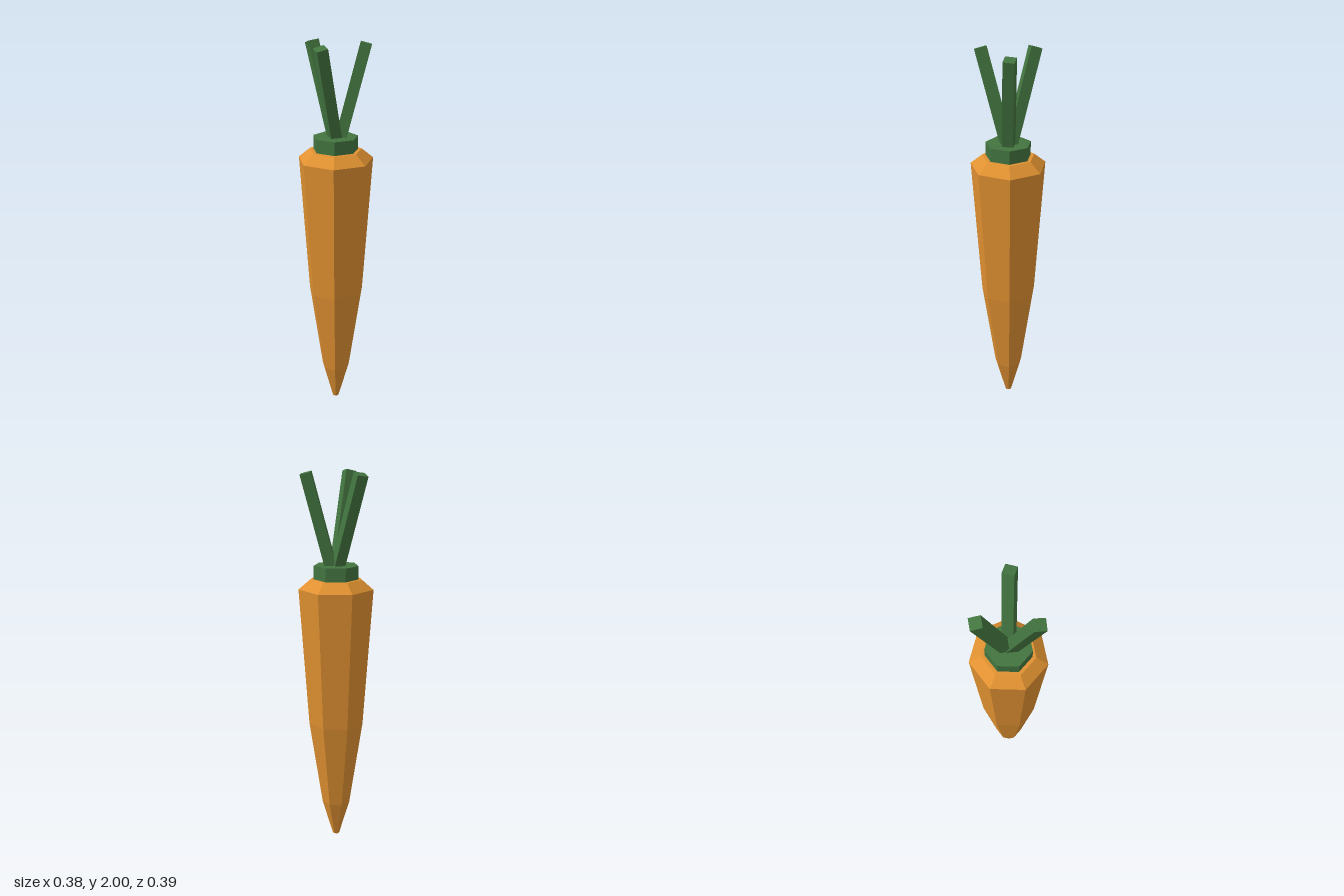
import * as THREE from 'three';

export function createModel() {
  const group = new THREE.Group();
  const orange = new THREE.MeshStandardMaterial({ color: 0xe09131, flatShading: true });
  orange.name = 'carrot orange';
  const green = new THREE.MeshStandardMaterial({ color: 0x437540, flatShading: true });
  green.name = 'leaf green';

  const SIDES = 7;
  const CENTRE_X = -0.011; // puts the seven-sided body's bounds around x = 0

  const add = (name, geometry, material) => {
    const mesh = new THREE.Mesh(geometry, material);
    mesh.name = name;
    group.add(mesh);
    return mesh;
  };

  // Tapered root with a bevelled shoulder, one corner pointing to +x
  const profile = [
    [0, 0], [0.018, 0], [0.076, 0.2], [0.147, 0.67],
    [0.198, 1.405], [0.137, 1.455], [0, 1.455],
  ].map(([r, y]) => new THREE.Vector2(r, y));
  add('root', new THREE.LatheGeometry(profile, SIDES, Math.PI / 2), orange).position.x = CENTRE_X;

  // Leaf collar on top of the root
  const collar = new THREE.CylinderGeometry(0.118, 0.118, 0.075, SIDES, 1, false, Math.PI / 2);
  add('collar', collar, green).position.set(CENTRE_X, 1.4875, 0);

  // Three square stems leaning outward, each twisted about its own length
  const up = new THREE.Vector3(0, 1, 0);
  const stems = [
    { name: 'leftStem', base: [0.019, 1.525, 0], tip: [0.144, 1.991, 0], twist: -15 },
    { name: 'backStem', base: [-0.017, 1.525, -0.015], tip: [-0.107, 1.989, -0.137], twist: 10 },
    { name: 'frontStem', base: [-0.017, 1.525, 0.012], tip: [-0.107, 1.989, 0.134], twist: 10 },
  ];
  for (const { name, base, tip, twist } of stems) {
    const end = new THREE.Vector3(...tip);
    const axis = end.clone().sub(new THREE.Vector3(...base));
    const length = axis.length() + 0.04; // sink the foot into the collar
    axis.normalize();
    const stem = add(name, new THREE.BoxGeometry(0.057, length, 0.057), green);
    stem.quaternion.setFromUnitVectors(up, axis);
    stem.rotateY(THREE.MathUtils.degToRad(twist));
    stem.position.copy(end).addScaledVector(axis, -length / 2);
  }

  return group;
}
